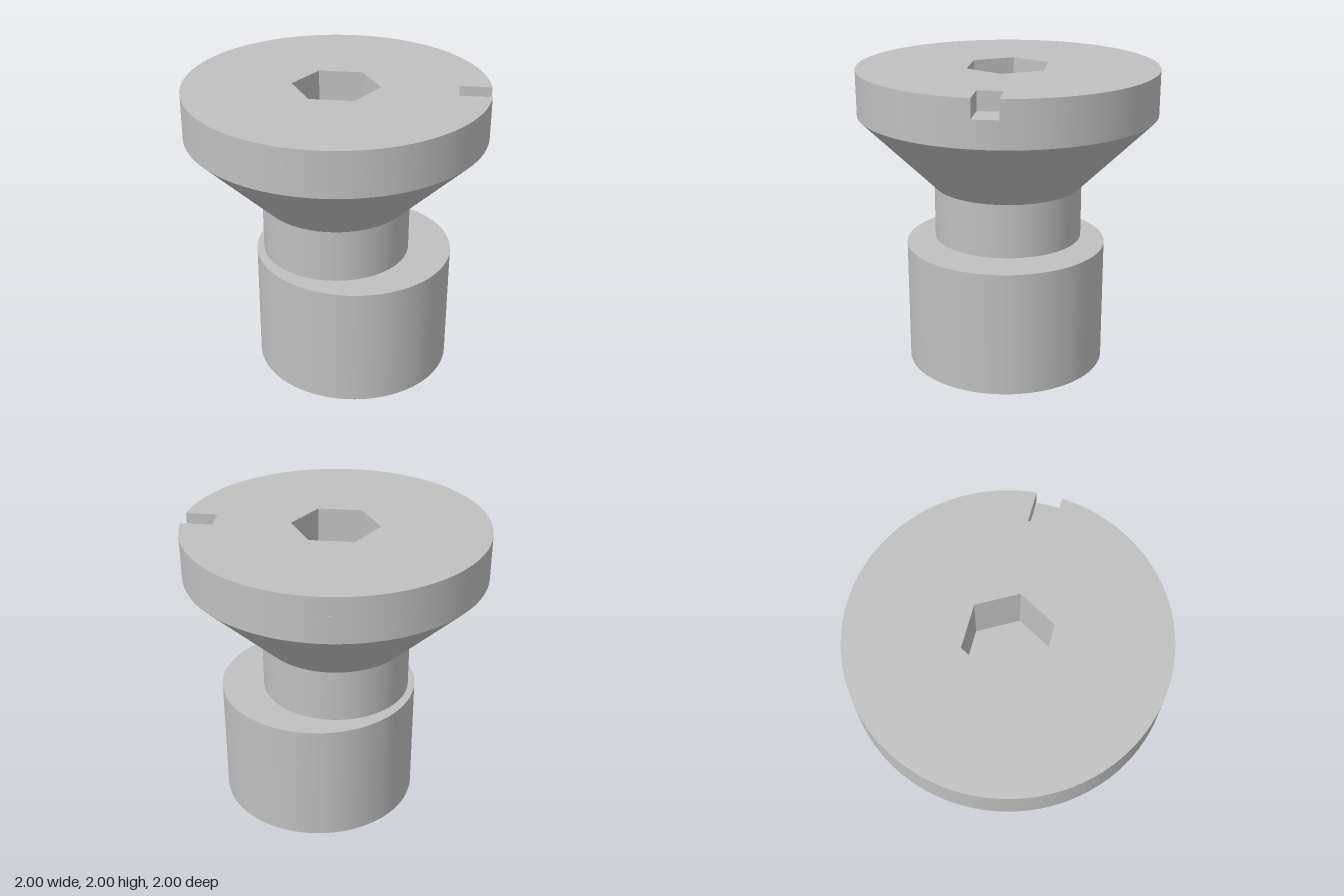
import * as THREE from 'three';

const SEG = 96;
const TOP = 2, RIM_BOTTOM = 1.697, NECK_TOP = 1.197, BASE_TOP = 0.833;
const HEX_R = 0.29, HEX_FLOOR = 1.6;
const NOTCH_X = 0.788, NOTCH_HALF = 0.083, NOTCH_FLOOR = 1.876;

export function createModel() {
  const model = new THREE.Group();
  const steel = new THREE.MeshStandardMaterial({ color: 0xc0c0c0 });
  steel.name = 'steel grey';

  const add = (name, geometry, x = 0, y = 0, z = 0) => {
    const mesh = new THREE.Mesh(geometry, steel);
    mesh.name = name;
    mesh.position.set(x, y, z);
    model.add(mesh);
    return mesh;
  };
  // Open round wall between two heights, optionally only part of the circle
  const wall = (name, rTop, rBottom, y0, y1, start = 0, length = Math.PI * 2) =>
    add(name, new THREE.CylinderGeometry(rTop, rBottom, y1 - y0, SEG, 1, true, start, length), 0, (y0 + y1) / 2);
  // Flat upward face
  const face = (name, shape, y) =>
    add(name, new THREE.ShapeGeometry(shape, SEG).rotateX(-Math.PI / 2), 0, y);
  const hexPoints = () => Array.from({ length: 6 }, (_, i) =>
    new THREE.Vector2(HEX_R * Math.cos(i * Math.PI / 3), HEX_R * Math.sin(i * Math.PI / 3)));

  // Eccentric base and neck
  add('eccentricBase', new THREE.CylinderGeometry(0.667, 0.667, BASE_TOP, SEG), 0.122, BASE_TOP / 2);
  wall('neck', 0.5, 0.5, BASE_TOP, NECK_TOP);

  // Countersunk head
  const gap = Math.asin(NOTCH_HALF);
  wall('headCone', 1, 0.5, NECK_TOP, RIM_BOTTOM);
  wall('lowerRim', 1, 1, RIM_BOTTOM, NOTCH_FLOOR);
  wall('upperRim', 1, 1, NOTCH_FLOOR, TOP, Math.PI / 2 + gap, Math.PI * 2 - 2 * gap);

  // Top face with the notch cut from its edge and a hexagonal hole
  const top = new THREE.Shape();
  top.moveTo(NOTCH_X, -NOTCH_HALF);
  top.lineTo(NOTCH_X, NOTCH_HALF);
  top.lineTo(Math.cos(gap), NOTCH_HALF);
  top.absarc(0, 0, 1, gap, Math.PI * 2 - gap, false);
  top.closePath();
  top.holes.push(new THREE.Path(hexPoints()));
  face('headTop', top, TOP);

  // Hex socket: inward walls and floor
  const socket = new THREE.CylinderGeometry(HEX_R, HEX_R, TOP - HEX_FLOOR, 6, 1, true, Math.PI / 2)
    .scale(-1, 1, 1).toNonIndexed();
  socket.computeVertexNormals();
  add('socketWalls', socket, 0, (TOP + HEX_FLOOR) / 2);
  face('socketFloor', new THREE.Shape(hexPoints()), HEX_FLOOR);

  // Notch: floor, inner wall and two side walls
  const floor = new THREE.Shape();
  floor.moveTo(NOTCH_X, -NOTCH_HALF);
  floor.lineTo(Math.cos(gap), -NOTCH_HALF);
  floor.absarc(0, 0, 1, -gap, gap, false);
  floor.lineTo(NOTCH_X, NOTCH_HALF);
  face('notchFloor', floor, NOTCH_FLOOR);
  const h = TOP - NOTCH_FLOOR, midY = (TOP + NOTCH_FLOOR) / 2;
  add('notchInnerWall', new THREE.PlaneGeometry(2 * NOTCH_HALF, h).rotateY(Math.PI / 2), NOTCH_X, midY);
  const depth = Math.cos(gap) - NOTCH_X;
  for (const side of [-1, 1]) {
    const plane = new THREE.PlaneGeometry(depth, h).rotateY(side > 0 ? Math.PI : 0);
    add(side > 0 ? 'notchFrontWall' : 'notchBackWall', plane, NOTCH_X + depth / 2, midY, side * NOTCH_HALF);
  }
  return model;
}
